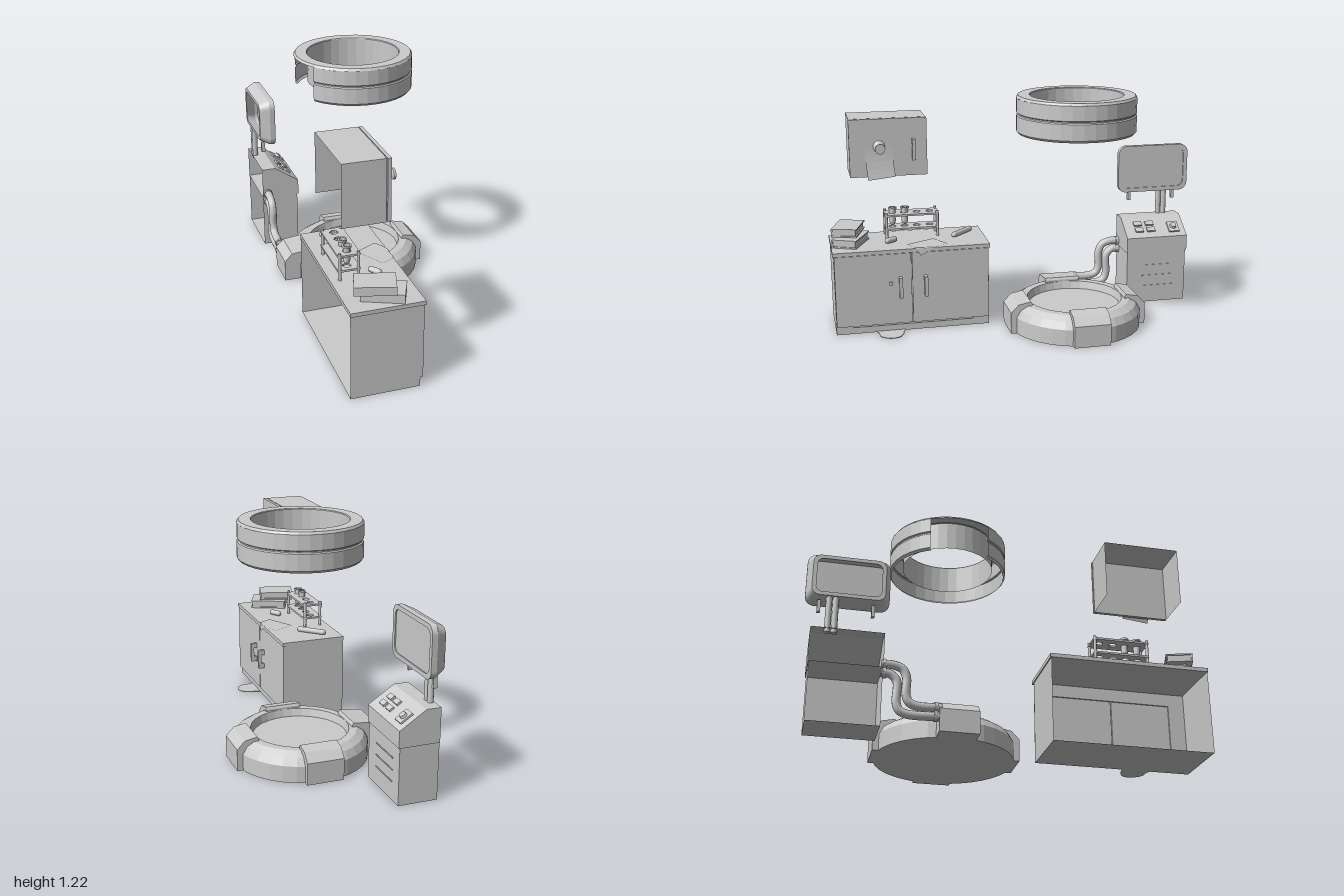
import * as THREE from 'three';

const grey = new THREE.MeshStandardMaterial({ color: 0xcccccc, flatShading: true });
const smooth = new THREE.MeshStandardMaterial({ color: 0xcccccc });
const thin = new THREE.MeshStandardMaterial({ color: 0xcccccc, flatShading: true, side: THREE.DoubleSide });

const V = (x, y, z) => new THREE.Vector3(x, y, z);
const P = (pts) => pts.map(([x, y]) => new THREE.Vector2(x, y));

function add(parent, name, geo, mat = grey, x = 0, y = 0, z = 0) {
  const m = new THREE.Mesh(geo, mat);
  m.name = name;
  m.position.set(x, y, z);
  parent.add(m);
  return m;
}

// Box given by its ranges on each axis
function boxGeo([x0, x1], [y0, y1], [z0, z1]) {
  return new THREE.BoxGeometry(x1 - x0, y1 - y0, z1 - z0)
    .translate((x0 + x1) / 2, (y0 + y1) / 2, (z0 + z1) / 2);
}
const box = (g, name, x, y, z) => add(g, name, boxGeo(x, y, z));

// Removes the faces that look along any of the given directions
function open(geo, ...dirs) {
  const src = geo.index ? geo.toNonIndexed() : geo;
  const p = src.attributes.position, n = src.attributes.normal, keep = [];
  for (let i = 0; i < p.count; i += 3) {
    const nv = new THREE.Vector3().fromBufferAttribute(n, i);
    if (dirs.some((d) => nv.dot(d) > 0.99)) continue;
    for (let k = i; k < i + 3; k++) keep.push(p.getX(k), p.getY(k), p.getZ(k));
  }
  const out = new THREE.BufferGeometry();
  out.setAttribute('position', new THREE.Float32BufferAttribute(keep, 3));
  out.computeVertexNormals();
  return out;
}
const BACK = V(-1, 0, 0), DOWN = V(0, -1, 0), FRONT = V(1, 0, 0);

const extrude = (shape, depth, steps = 1) =>
  new THREE.ExtrudeGeometry(shape, { depth, steps, bevelEnabled: false, curveSegments: 5 });

function roundRect(w, h, r, Type = THREE.Shape) {
  const s = new Type(), a = w / 2 - r, b = h / 2 - r;
  s.absarc(a, b, r, 0, Math.PI / 2);
  s.absarc(-a, b, r, Math.PI / 2, Math.PI);
  s.absarc(-a, -b, r, Math.PI, Math.PI * 1.5);
  s.absarc(a, -b, r, Math.PI * 1.5, Math.PI * 2);
  s.closePath();
  return s;
}

// Pull handle standing off a door that faces +x
function handle(parent, x, y, z) {
  const g = new THREE.Group();
  g.name = 'handle';
  for (const s of [-1, 1]) box(g, 'handlePost', [0, 0.026], [s * 0.04 - 0.014, s * 0.04 + 0.014], [-0.008, 0.008]);
  box(g, 'handleBar', [0.018, 0.034], [-0.054, 0.054], [-0.009, 0.009]);
  g.position.set(x, y, z);
  parent.add(g);
}

function makeCounter() {
  const g = new THREE.Group();
  g.name = 'counter';
  add(g, 'counterBody', open(boxGeo([-0.39, -0.056], [0, 0.425], [0.185, 0.985]), BACK, FRONT), thin);
  // Front frame behind the doors, with a slit left open under them
  const frame = new THREE.Shape(P([[-0.985, 0], [-0.185, 0], [-0.185, 0.425], [-0.985, 0.425]]));
  frame.holes.push(new THREE.Path(P([[-0.9, 0.034], [-0.27, 0.034], [-0.27, 0.36], [-0.9, 0.36]])));
  add(g, 'frontFrame', extrude(frame, 0.008).rotateY(Math.PI / 2), grey, -0.064, 0, 0);
  box(g, 'counterTop', [-0.39, -0.037], [0.425, 0.445], [0.18, 0.99]);
  for (const [a, b] of [[0.188, 0.588], [0.592, 0.983]]) box(g, 'door', [-0.056, -0.042], [0.045, 0.422], [a, b]);
  handle(g, -0.042, 0.245, 0.52);
  handle(g, -0.042, 0.245, 0.65);
  add(g, 'keyhole', new THREE.CylinderGeometry(0.011, 0.011, 0.012, 12).rotateZ(Math.PI / 2), grey, -0.038, 0.265, 0.7);

  // Spill on the floor
  const spill = new THREE.SplineCurve(P([[-0.07, 0.62], [-0.03, 0.64], [0, 0.645], [0.045, 0.67],
    [0.055, 0.72], [0.02, 0.765], [-0.03, 0.77], [-0.07, 0.79]]));
  add(g, 'spill', extrude(new THREE.Shape(spill.getPoints(24)), 0.004).rotateX(Math.PI / 2), grey, 0, 0.004, 0);

  // Books: cover boards, spine and pages
  for (const [x, y, z, a, l] of [[-0.2, 0.447, 0.885, -0.42, 0.2], [-0.245, 0.493, 0.893, -0.3, 0.19]]) {
    const b = new THREE.Group();
    b.name = 'book';
    const h = l / 2;
    for (const by of [0, 0.036]) box(b, 'cover', [-h, h], [by, by + 0.007], [-0.065, 0.065]);
    box(b, 'spine', [-h, h], [0, 0.043], [0.06, 0.068]);
    box(b, 'pages', [-h + 0.006, h - 0.006], [0.007, 0.036], [-0.058, 0.06]);
    b.position.set(x, y, z);
    b.rotation.y = a;
    g.add(b);
  }

  // Test tube rack
  const rack = new THREE.Group();
  rack.name = 'tubeRack';
  for (const y of [0.488, 0.562]) {
    const plate = roundRect(0.11, 0.285, 0.006);
    for (const z of [-0.1, -0.035, 0.03, 0.1]) plate.holes.push(new THREE.Path().absarc(0, z, 0.02, 0, Math.PI * 2));
    add(rack, 'rackPlate', extrude(plate, 0.01).rotateX(-Math.PI / 2), grey, -0.3, y, 0.557);
  }
  for (const x of [-0.345, -0.255]) for (const z of [0.422, 0.692])
    add(rack, 'rackPost', new THREE.CylinderGeometry(0.008, 0.008, 0.138, 8), smooth, x, 0.514, z);
  const tube = P([[0, 0.505], [0.012, 0.51], [0.017, 0.525], [0.017, 0.59], [0.023, 0.592], [0.023, 0.602], [0.015, 0.602], [0.014, 0.56], [0, 0.555]]);
  for (const z of [0.59, 0.655]) add(rack, 'testTube', new THREE.LatheGeometry(tube, 14), grey, -0.3, 0, z);
  g.add(rack);

  // Loose things on the top
  const vial = add(g, 'fallenVial', new THREE.CapsuleGeometry(0.015, 0.045, 4, 10).rotateX(Math.PI / 2), smooth, -0.17, 0.46, 0.68);
  vial.rotation.y = 0.6;
  const pen = add(g, 'marker', new THREE.CapsuleGeometry(0.015, 0.14, 4, 10).rotateZ(Math.PI / 2), smooth, -0.245, 0.46, 0.294);
  pen.rotation.y = -0.77;
  // Sheets that fold down past the counter edge
  for (const [x, z, a, y] of [[-0.09, 0.5, 0.5, 0.449], [-0.2, 0.34, -0.3, 0.447]]) {
    const geo = new THREE.PlaneGeometry(0.13, 0.17, 12, 12).rotateX(-Math.PI / 2).rotateY(a).translate(x, y, z);
    const p = geo.attributes.position;
    for (let i = 0; i < p.count; i++) {
      const over = p.getX(i) + 0.035;
      if (over > 0) p.setXYZ(i, -0.035 + over * 0.1, y - over, p.getZ(i));
    }
    add(g, 'paper', geo, thin);
  }
  return g;
}

function makeWallCabinet() {
  const g = new THREE.Group();
  g.name = 'wallCabinet';
  add(g, 'cabinetBody', open(boxGeo([-0.392, -0.187], [0.8, 1.1], [0.482, 0.874]), BACK, DOWN), thin);
  box(g, 'cabinetDoor', [-0.183, -0.166], [0.802, 1.1], [0.48, 0.876]);
  handle(g, -0.166, 0.94, 0.55);
  // Suction dart and the note it pins
  const dart = P([[0, 0], [0.032, 0], [0.024, 0.012], [0.012, 0.02], [0.012, 0.052], [0.026, 0.058], [0.026, 0.068], [0, 0.068]]);
  add(g, 'suctionDart', new THREE.LatheGeometry(dart, 16).rotateZ(-Math.PI / 2), grey, -0.166, 0.957, 0.725);
  const note = new THREE.PlaneGeometry(0.14, 0.17, 1, 6).rotateY(Math.PI / 2).rotateX(0.1);
  const p = note.attributes.position;
  for (let i = 0; i < p.count; i++) p.setX(i, 0.02 * ((0.09 - p.getY(i)) / 0.18) ** 2);
  add(g, 'note', note, thin, -0.163, 0.88, 0.725);
  return g;
}

function makeConsole() {
  const g = new THREE.Group();
  g.name = 'console';
  add(g, 'consoleBody', open(boxGeo([-0.39, -0.19], [0, 0.29], [-0.96, -0.623]), BACK), thin);
  for (const y of [0.09, 0.15, 0.21]) box(g, 'vent', [-0.19, -0.187], [y, y + 0.006], [-0.89, -0.71]);
  const head = new THREE.Shape(P([[-0.39, 0.29], [-0.183, 0.29], [-0.183, 0.375], [-0.315, 0.463], [-0.39, 0.463]]));
  add(g, 'consoleHead', open(extrude(head, 0.345).translate(0, 0, -0.965), BACK), thin);

  // Controls lie on the sloped panel
  const panel = new THREE.Group();
  panel.name = 'controls';
  panel.position.set(-0.249, 0.419, 0);
  panel.rotation.z = -Math.atan2(0.088, 0.132);
  for (const u of [-0.02, 0.025]) for (const z of [-0.701, -0.768])
    box(panel, 'button', [u - 0.014, u + 0.014], [0, 0.01], [z - 0.023, z + 0.023]);
  box(panel, 'dialPlate', [-0.022, 0.05], [0, 0.009], [-0.93, -0.87]);
  add(panel, 'dial', new THREE.CylinderGeometry(0.016, 0.019, 0.014, 12), grey, 0.014, 0.015, -0.9);
  g.add(panel);

  // Screen whose bezel tapers towards the back
  const bezel = roundRect(0.4, 0.26, 0.045);
  bezel.holes.push(roundRect(0.355, 0.215, 0.035, THREE.Path));
  const geo = extrude(bezel, 0.08, 2), p = geo.attributes.position;
  for (let i = 0; i < p.count; i++) {
    if (p.getZ(i) < 0.01) p.setXY(i, p.getX(i) * 0.87, p.getY(i) * 0.82);
    else if (p.getZ(i) < 0.05) p.setZ(i, 0.052);
  }
  add(g, 'screenBezel', geo.rotateY(Math.PI / 2), thin, -0.39, 0.737, -0.8);
  add(g, 'screenPanel', extrude(roundRect(0.356, 0.216, 0.035), 0.006).rotateY(Math.PI / 2), grey, -0.322, 0.737, -0.8);
  for (const z of [-0.857, -0.888]) add(g, 'screenPole', new THREE.CylinderGeometry(0.015, 0.015, 0.19, 10), smooth, -0.372, 0.54, z);
  for (const z of [-0.68, -0.935]) box(g, 'cableEnd', [-0.375, -0.355], [0.55, 0.61], [z - 0.008, z + 0.008]);

  // Two nested pipes from the console to the platform
  for (const d of [0, 0.044]) {
    const top = 0.316 - d, z = -0.508 - d, low = 0.122 - d, x = -0.363;
    const path = new THREE.CatmullRomCurve3([V(x, top, -0.63), V(x, top, z - 0.06 + d / 2), V(x, top - 0.018 + d / 8, z - 0.018),
      V(x, top - 0.06 + d / 2, z), V(x, low + 0.05, z), V(x, low + 0.015, z + 0.015), V(x, low, z + 0.05), V(x, low, -0.34)]);
    add(g, 'pipe', new THREE.TubeGeometry(path, 36, 0.021, 10), smooth);
    for (const [fy, fz] of [[top, -0.613], [low, -0.368]])
      add(g, 'pipeFlange', new THREE.CylinderGeometry(0.026, 0.026, 0.016, 12).rotateX(Math.PI / 2), grey, x, fy, fz);
  }
  return g;
}

function makePlatform() {
  const g = new THREE.Group();
  g.name = 'platform';
  const prof = P([[0, 0], [0.347, 0], [0.347, 0.085], [0.326, 0.122], [0.29, 0.145], [0.25, 0.145], [0.24, 0.105], [0, 0.105]]);
  add(g, 'platformBase', new THREE.LatheGeometry(prof, 32));
  // Four clamps round the rim
  for (let i = 0; i < 4; i++) {
    const r = i === 2 ? 0.418 : 0.362;
    const s = new THREE.Shape(P([[0.25, 0], [r, 0], [r, 0.112], [r - 0.04, 0.154], [0.257, 0.167], [0.25, 0.155]]));
    const m = add(g, 'clamp', extrude(s, 0.19).translate(0, 0, -0.095));
    m.rotation.y = (i * Math.PI) / 2;
  }
  g.position.set(0.03, 0, -0.258);
  return g;
}

function makeCeilingRing() {
  const g = new THREE.Group();
  g.name = 'ceilingRing';
  const outer = P([[0.296, 1.028], [0.306, 1.04], [0.306, 1.12], [0.3, 1.125], [0.3, 1.131], [0.306, 1.136], [0.306, 1.21]]);
  // The outer wall stops short on the -x side; rim and inner wall go all the way round
  add(g, 'outerWall', new THREE.LatheGeometry(outer, 28, Math.PI * 1.5 + 0.56, Math.PI * 2 - 1.03), thin);
  const inner = P([[0.306, 1.21], [0.298, 1.222], [0.24, 1.222], [0.237, 1.218], [0.237, 1.07]]);
  add(g, 'rimAndInnerWall', new THREE.LatheGeometry(inner, 32), thin);
  g.position.set(0.03, 0, -0.258);
  return g;
}

export function createModel() {
  const model = new THREE.Group();
  model.name = 'laboratory';
  model.add(makeCounter(), makeWallCabinet(), makeConsole(), makePlatform(), makeCeilingRing());
  return model;
}
